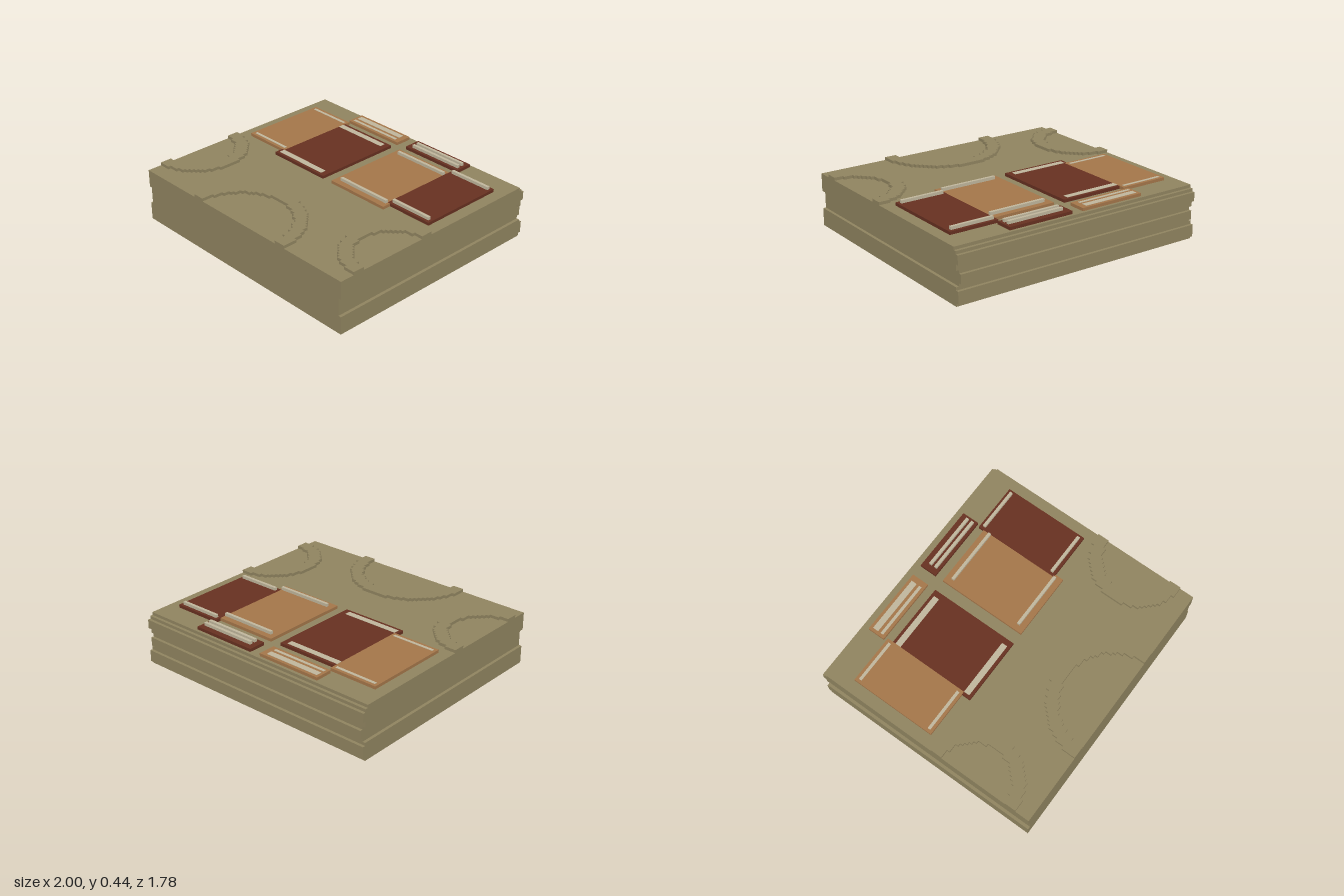
import * as THREE from 'three';

// Everything sits on a grid of 45 cells per unit
const U = 1 / 45;
const TOP = 18; // height of the base slab in cells

const mat = (name, color) => {
  const m = new THREE.MeshStandardMaterial({ color });
  m.name = name;
  return m;
};

export function createModel() {
  const model = new THREE.Group();
  model.name = 'steppedBase';
  const stone = mat('khaki stone', 0x8f835f);
  const tan = mat('tan tile', 0xa37549);
  const maroon = mat('maroon tile', 0x663020);
  const cream = mat('cream trim', 0xbfb59b);

  const add = (name, geo, material) => {
    const mesh = new THREE.Mesh(geo, material);
    mesh.name = name;
    model.add(mesh);
    return mesh;
  };

  // Box given by its limits in cells
  const box = (name, material, x0, x1, z0, z1, y0 = TOP, h = 1) => {
    const geo = new THREE.BoxGeometry((x1 - x0) * U, h * U, (z1 - z0) * U);
    geo.translate((x0 + x1) / 2 * U, (y0 + h / 2) * U, (z0 + z1) / 2 * U);
    return add(name, geo, material);
  };

  const extrude = (pts, depth) => new THREE.ExtrudeGeometry(
    new THREE.Shape(pts.map(([x, y]) => new THREE.Vector2(x * U, y * U))),
    { depth: depth * U, bevelEnabled: false });

  // Base layers: stepped back profile as [y0, y1, back depth], flat front
  const layer = (name, width, steps) => {
    const pts = [[-40, steps[0][0]]];
    for (const [y0, y1, back] of steps) pts.push([back, y0], [back, y1]);
    pts.push([-40, steps[steps.length - 1][1]]);
    const geo = extrude(pts, width);
    geo.translate(0, 0, -width / 2 * U);
    geo.rotateY(Math.PI / 2);
    add(name, geo, stone);
  };
  layer('lowerBase', 90, [[0, 1, 39], [1, 5, 40], [5, 6, 39]]);
  layer('middleBase', 88, [[6, 7, 39], [7, 10, 40], [10, 12, 39]]);
  layer('upperBase', 90, [[12, 13, 39], [13, 16, 40], [16, 17, 39], [17, 18, 38]]);
  for (const x of [-45, 44]) box('grooveLip', stone, x, x + 1, -39, -38, 11);

  // Stair-stepped half circle, column by column
  const stairs = (r) => {
    const pts = [];
    for (let i = -r; i < r; i++) {
      const h = Math.floor(Math.sqrt(r * r - (i + 0.5) ** 2) + 0.5);
      pts.push([i, h], [i + 1, h]);
    }
    return [[-r, 0], ...pts, [r, 0]];
  };
  // Raised half rings along the front and side edges
  const halfRing = (name, outer, inner, x, z, turn) => {
    const geo = extrude([...stairs(outer), ...stairs(inner).reverse()], 1);
    geo.rotateX(-Math.PI / 2);
    const ring = add(name, geo, stone);
    ring.rotation.y = turn;
    ring.position.set(x * U, TOP * U, z * U);
  };
  halfRing('frontHalfRing', 21, 17, 0, 40, 0);
  halfRing('rightHalfRing', 16, 12, -45, 19, -Math.PI / 2);
  halfRing('leftHalfRing', 16, 12, 45, 19, Math.PI / 2);

  // Tiles: the outer ones notch into the inner ones
  for (const [side, s, outerMat, innerMat] of [['right', -1, tan, maroon], ['left', 1, maroon, tan]]) {
    const tile = (name, m, a, b, z0, z1) =>
      box(side + name, m, Math.min(s * a, s * b), Math.max(s * a, s * b), z0, z1);
    tile('OuterTile', outerMat, 24, 41, -30, 0);
    tile('InnerTile', innerMat, 2, 24, -28, 3);
    tile('InnerTileCorner', innerMat, 24, 25, 0, 3);
    tile('BackTile', outerMat, 2, 25, -37, -31);
  }

  // Trim: raised bars on the left, flush inlays on the right
  const bars = [[25, 40, -29, -28], [25, 40, -2, -1], [4, 24, -26, -25], [4, 24, 0, 1],
    [4, 24, -35, -34], [4, 24, -33, -32]];
  for (const [x0, x1, z0, z1] of bars) box('raisedBar', cream, x0, x1, z0, z1, TOP + 1);
  const inlays = [[25, 40, -29, -28], [25, 40, -2, -1], [4, 24, -27, -25], [4, 24, 0, 2],
    [4, 24, -36, -34], [4, 24, -33, -32]];
  for (const [x0, x1, z0, z1] of inlays) box('inlay', cream, -x1, -x0, z0, z1, TOP + 1, 0.1);

  return model;
}
